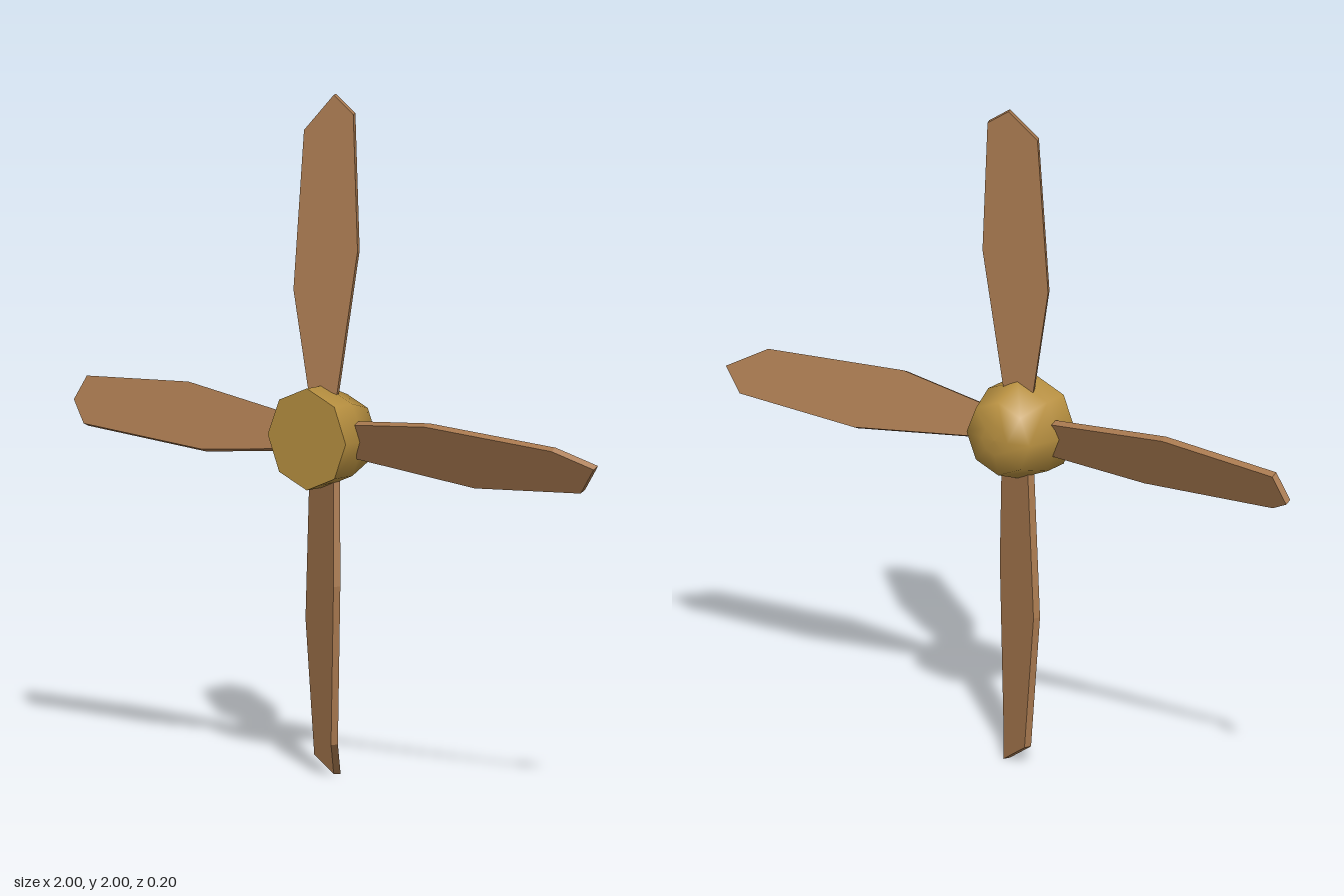
import * as THREE from 'three';

const wood = new THREE.MeshStandardMaterial({ color: 0xa8794f });
wood.name = 'brown wood';
const brass = new THREE.MeshStandardMaterial({ color: 0xb89040 });
brass.name = 'brass';

// Blade outline on its front side, counter-clockwise: root, trailing edge, tip, leading edge, root
const outline = [
  [0.05, 0.1, 0.03], [0.1, 0.55, -0.01], [0.075, 0.95, -0.02], [0, 1, -0.02],
  [-0.052, 0.9, 0.052], [-0.077, 0.43, 0.07], [-0.045, 0.1, 0.034],
].map((p) => new THREE.Vector3(...p));
const bands = [[0, 1, 5], [0, 5, 6], [1, 2, 4], [1, 4, 5], [2, 3, 4]];
const thickness = new THREE.Vector3(-0.009, 0, -0.02);

// One pitched, twisted blade pointing up from the origin
function bladeGeometry() {
  const front = outline;
  const back = outline.map((p) => p.clone().add(thickness));
  const positions = [];
  const normals = [];
  const addFace = (triangles) => {
    // every face is shaded as a single flat facet
    const normal = new THREE.Vector3();
    for (const [a, b, c] of triangles) {
      normal.add(b.clone().sub(a).cross(c.clone().sub(a)));
    }
    normal.normalize();
    for (const p of triangles.flat()) {
      positions.push(p.x, p.y, p.z);
      normals.push(normal.x, normal.y, normal.z);
    }
  };
  addFace(bands.map((t) => t.map((i) => front[i])));
  addFace(bands.map(([a, b, c]) => [back[a], back[c], back[b]]));
  front.forEach((p, i) => {
    const j = (i + 1) % front.length;
    addFace([[p, back[i], back[j]], [p, back[j], front[j]]]);
  });
  const geometry = new THREE.BufferGeometry();
  geometry.setAttribute('position', new THREE.Float32BufferAttribute(positions, 3));
  geometry.setAttribute('normal', new THREE.Float32BufferAttribute(normals, 3));
  return geometry;
}

export function createModel() {
  const model = new THREE.Group();
  model.name = 'propeller';

  // Hub: eight-sided shell, rounded at the back
  const hub = new THREE.Group();
  hub.name = 'hub';
  const profile = [[0.15, -0.1], [0.15, -0.02], [0.112, 0.08], [0.045, 0.098], [0, 0.1]];
  const shellGeometry = new THREE.LatheGeometry(profile.map(([r, y]) => new THREE.Vector2(r, y)), 8);
  shellGeometry.rotateX(-Math.PI / 2);
  const shell = new THREE.Mesh(shellGeometry, brass);
  shell.name = 'hubShell';

  // Flat front of the hub
  const cap = new THREE.Mesh(new THREE.CircleGeometry(0.15, 8), brass);
  cap.name = 'hubFront';
  cap.position.z = 0.1;
  hub.add(shell, cap);
  hub.position.y = 1;
  model.add(hub);

  // Four blades around the hub
  const blade = bladeGeometry();
  for (let i = 0; i < 4; i++) {
    const mesh = new THREE.Mesh(blade, wood);
    mesh.name = `blade${i + 1}`;
    mesh.position.y = 1;
    mesh.rotation.z = (i * Math.PI) / 2;
    model.add(mesh);
  }
  return model;
}
